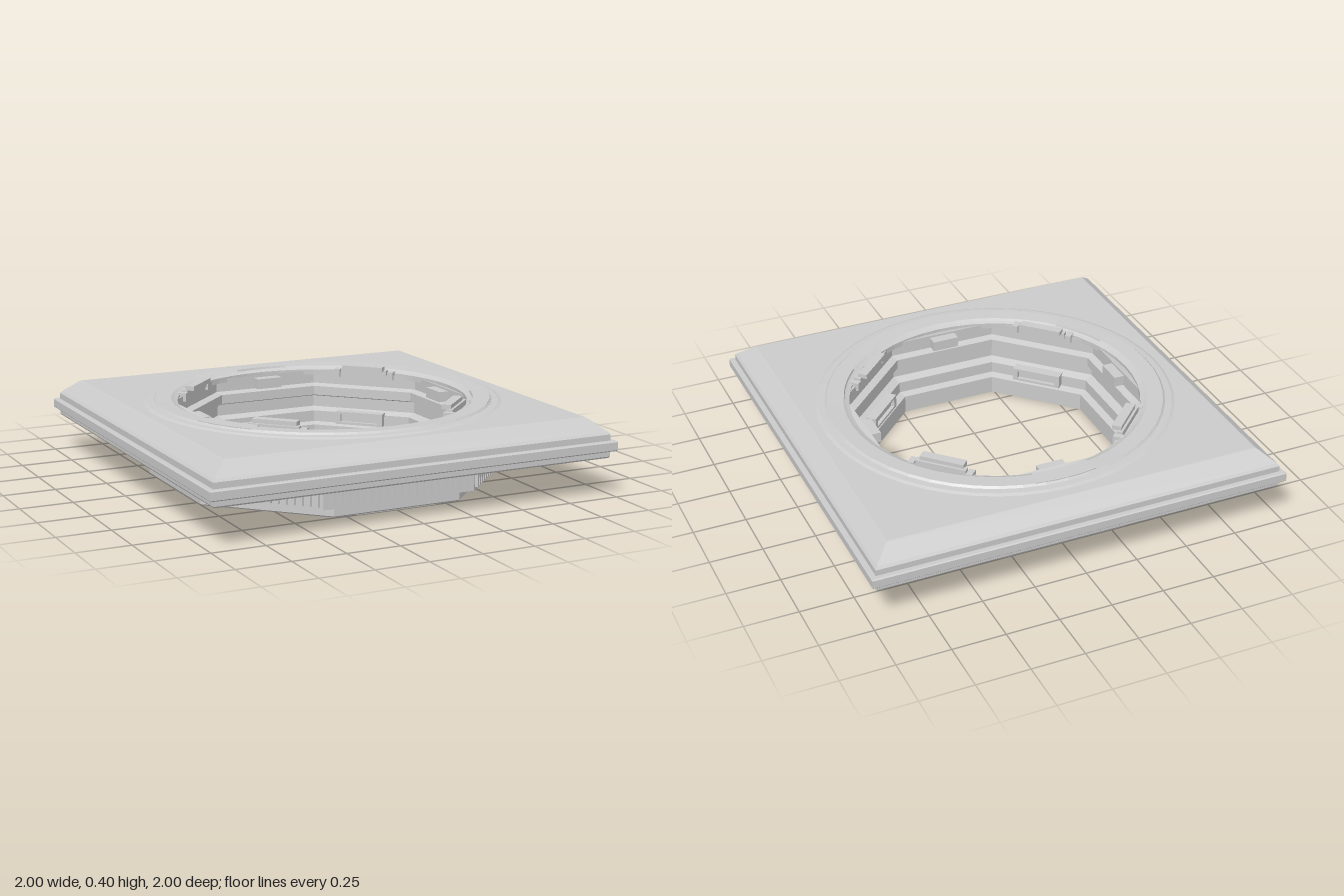
import * as THREE from 'three';

const mat = new THREE.MeshStandardMaterial({ color: 0xcccccc, flatShading: true, side: THREE.DoubleSide });

function add(parent, name, geometry) {
  const mesh = new THREE.Mesh(geometry, mat);
  mesh.name = name;
  parent.add(mesh);
  return mesh;
}

function group(parent, name) {
  const g = new THREE.Group();
  g.name = name;
  parent.add(g);
  return g;
}

// Polygonal ring: profile is [distance to flat side, height]
function polygonRing(profile, sides) {
  const k = 1 / Math.cos(Math.PI / sides);
  const pts = profile.map(([a, y]) => new THREE.Vector2(a * k, y));
  return new THREE.LatheGeometry(pts, sides, Math.PI / sides);
}

// Outline through the given points with a round hole
function holedShape(points, radius) {
  const s = new THREE.Shape(points.map(p => new THREE.Vector2(...p)));
  s.holes.push(new THREE.Path().absarc(0, 0, radius, 0, Math.PI * 2, true));
  return s;
}

// Flat square sheet with a round hole, facing up
function holedSquare(h, radius) {
  const s = holedShape([[-h, -h], [h, -h], [h, h], [-h, h]], radius);
  return new THREE.ShapeGeometry(s, 32).rotateX(-Math.PI / 2);
}

// Box placed on a side of the octagon
function sideBox(parent, name, angle, dist, y, w, h, d, shift = 0) {
  const g = new THREE.BoxGeometry(w, h, d).translate(shift, y, dist);
  return add(parent, name, g.rotateY(angle));
}

export function createModel() {
  const model = new THREE.Group();

  // Square plate with stepped edge and bevelled top
  const plate = group(model, 'squarePlate');
  add(plate, 'plateEdge', polygonRing([
    [0.97, 0.18], [0.975, 0.187], [0.975, 0.215], [0.995, 0.215], [1, 0.22], [1, 0.257],
    [0.995, 0.262], [0.975, 0.262], [0.975, 0.29], [0.965, 0.302], [0.895, 0.36], [0.89, 0.362]], 4));
  add(plate, 'plateTop', holedSquare(0.89, 0.7)).position.y = 0.362;
  const under = add(plate, 'plateUnderside', holedSquare(0.97, 0.7).rotateX(Math.PI));
  under.position.y = 0.18;

  // Round trim on the top face
  const trim = [[0.845, 0.362], [0.83, 0.368], [0.8, 0.37], [0.79, 0.379], [0.715, 0.376],
    [0.7, 0.368], [0.685, 0.362], [0.685, 0.335]].map(p => new THREE.Vector2(...p));
  add(model, 'roundTrim', new THREE.LatheGeometry(trim, 48));
  const pad = [[0.79, 0.37], [0.79, 0.382], [0.71, 0.382], [0.705, 0.365]].map(p => new THREE.Vector2(...p));
  for (let i = 0; i < 3; i++) {
    const centre = Math.PI + i * Math.PI * 2 / 3;
    add(model, 'trimPad', new THREE.LatheGeometry(pad, 6, centre - 0.19, 0.38));
  }

  // Octagonal collar: foot and stepped inner wall
  add(model, 'octagonCollar', polygonRing([
    [0.57, 0.004], [0.755, 0.004], [0.76, 0.01], [0.76, 0.06], [0.69, 0.06],
    [0.69, 0.345], [0.65, 0.355], [0.65, 0.29], [0.615, 0.28],
    [0.615, 0.235], [0.645, 0.225], [0.645, 0.17], [0.605, 0.155], [0.605, 0.1],
    [0.57, 0.09], [0.57, 0.004]], 8));

  // Grip band: an octagon with wide straight sides and shorter diagonal ones
  const a = 0.78, b = 0.38;
  const band = holedShape([[b, -a], [a, -b], [a, b], [b, a], [-b, a], [-a, b], [-a, -b], [-b, -a]], 0.7);
  add(model, 'gripBand', new THREE.ExtrudeGeometry(band, { depth: 0.13, bevelEnabled: false, curveSegments: 24 })
    .rotateX(-Math.PI / 2).translate(0, 0.05, 0));

  for (let i = 0; i < 8; i++) {
    const angle = i * Math.PI / 4;
    const diagonal = i % 2 === 1;

    // Ribs on the grip band
    const ribs = group(model, 'gripRibs');
    const count = diagonal ? 15 : 20;
    const dist = diagonal ? (a + b) / Math.SQRT2 : a;
    for (let j = 0; j < count; j++) {
      sideBox(ribs, 'rib', angle, dist + 0.003, 0.117, 0.02, 0.105, 0.022, (j - (count - 1) / 2) * 0.037);
    }

    if (diagonal) {
      // Low clip on the upper rim
      const clip = group(model, 'rimClip');
      sideBox(clip, 'clipBase', angle, 0.655, 0.362, 0.24, 0.03, 0.03);
      sideBox(clip, 'clipCap', angle, 0.636, 0.385, 0.21, 0.022, 0.045);
      for (const s of [-1, 1]) sideBox(clip, 'clipEnd', angle, 0.66, 0.35, 0.03, 0.04, 0.05, s * 0.14);

      // Framed slot on the inner wall
      const slot = group(model, 'slotFrame');
      for (const s of [-1, 1]) {
        sideBox(slot, 'slotRail', angle, 0.592, 0.135 + s * 0.026, 0.24, 0.012, 0.05);
        sideBox(slot, 'slotEnd', angle, 0.592, 0.135, 0.025, 0.064, 0.05, s * 0.11);
      }
      sideBox(slot, 'slotBack', angle, 0.6, 0.135, 0.2, 0.04, 0.03);
    } else {
      // Small block near the top of each straight side
      sideBox(model, 'rimBlock', angle, 0.635, 0.32, 0.13, 0.05, 0.07);
      // Thin bearing pad under the foot
      sideBox(model, 'footPad', angle, 0.665, 0.003, 0.4, 0.006, 0.17);
    }
  }
  return model;
}
